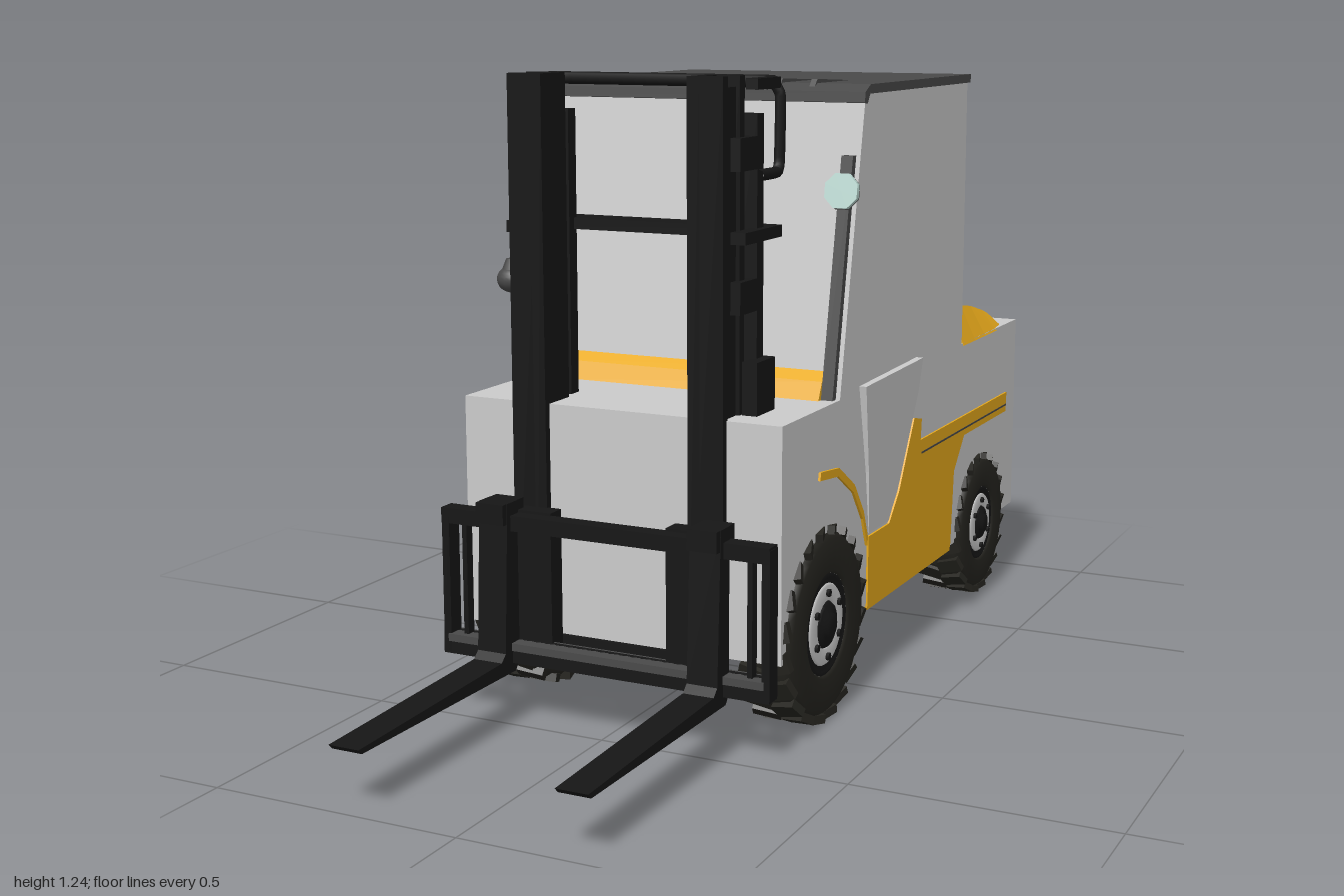
import * as THREE from 'three';

const mats = {};
const mat = (color) => (mats[color] ??= new THREE.MeshStandardMaterial({ color, flatShading: false }));
const GREY = 0xcccccc, YELLOW = 0xe8aa1c, BLACK = 0x161616, DARK = 0x4a4a4a, TYRE = 0x25241f, RED = 0xb52226, LAMP = 0xbfddd6;

export function createModel() {
  const root = new THREE.Group();
  const add = (name, geo, color, parent = root) => {
    const m = new THREE.Mesh(geo, mat(color));
    m.name = name;
    parent.add(m);
    return m;
  };
  // box given by its x, y and z ranges
  const box = (name, color, [x0, x1], [y0, y1], [z0, z1], parent) => {
    const g = new THREE.BoxGeometry(x1 - x0, y1 - y0, z1 - z0);
    g.translate((x0 + x1) / 2, (y0 + y1) / 2, (z0 + z1) / 2);
    return add(name, g, color, parent);
  };
  // side profile of [z, y] points, extruded from x0 to x1
  const profile = (name, color, pts, x0, x1) => {
    const g = new THREE.ExtrudeGeometry(new THREE.Shape(pts.map((p) => new THREE.Vector2(...p))), { depth: x1 - x0, bevelEnabled: false });
    g.rotateY(-Math.PI / 2).translate(x1, 0, 0);
    return add(name, g, color);
  };
  const tube = (name, color, pts, r, parent, tension = 0.5) => {
    const c = new THREE.CatmullRomCurve3(pts.map((p) => new THREE.Vector3(...p)), false, 'catmullrom', tension);
    return add(name, new THREE.TubeGeometry(c, pts.length * 6, r, 8), color, parent);
  };
  // rule applied to every vertex
  const warp = (g, fn) => {
    const p = g.attributes.position, v = new THREE.Vector3();
    for (let i = 0; i < p.count; i++) { fn(v.fromBufferAttribute(p, i)); p.setXYZ(i, v.x, v.y, v.z); }
    g.computeVertexNormals();
    return g;
  };

  // body
  box('body', GREY, [-0.338, 0.333], [0.17, 0.62], [-0.955, 0.42]);
  box('frontUnderside', BLACK, [-0.32, 0.32], [0.163, 0.171], [0, 0.4]);
  box('floorPan', YELLOW, [-0.335, 0.336], [0.162, 0.172], [-0.5, 0]);
  box('rearUnderside', BLACK, [-0.32, 0.32], [0.163, 0.171], [-0.95, -0.5]);

  // yellow trim on the sides
  profile('sidePanel', YELLOW, [[0, 0.17], [0, 0.315], [-0.115, 0.315], [-0.17, 0.37], [-0.255, 0.51], [-0.3, 0.5], [-0.295, 0.455],
    [-0.885, 0.455], [-0.88, 0.41], [-0.58, 0.41], [-0.515, 0.34], [-0.5, 0.17]], 0.32, 0.337);
  box('stripeGroove', DARK, [0.33, 0.338], [0.424, 0.428], [-0.88, -0.3]);
  profile('rightUpperStripe', YELLOW, [[-0.28, 0.5], [-0.36, 0.5], [-0.36, 0.455], [-0.885, 0.455], [-0.885, 0.475], [-0.45, 0.53], [-0.3, 0.54]], -0.341, -0.33);
  box('rightLowerStripe', YELLOW, [-0.341, -0.33], [0.405, 0.43], [-0.88, -0.4]);
  const arch = [[0.25, 0.5], [0.16, 0.49], [0.08, 0.44], [0.03, 0.375], [0.005, 0.315]];
  const band = [...arch, ...arch.map(([z, y]) => [z + 0.004, y - 0.016]).reverse()];
  profile('leftArchTrim', YELLOW, band, 0.32, 0.338);
  profile('rightArchTrim', YELLOW, band, -0.342, -0.33);

  // flared step panel on the left flank
  const step = profile('stepPanel', GREY, [[0.05, 0.63], [-0.27, 0.637], [-0.255, 0.57], [-0.17, 0.39], [-0.12, 0.32], [-0.01, 0.32], [0.01, 0.45]], 0.325, 0.334);
  warp(step.geometry, (v) => { if (v.x > 0.33) v.x += (v.y - 0.32) * 0.045; });

  // cab, cowl and roof
  profile('cab', GREY, [[0.15, 0.615], [0.035, 1.2], [-0.56, 1.205], [-0.56, 0.615]], -0.33, 0.333);
  profile('cowl', YELLOW, [[0.18, 0.615], [0.16, 0.655], [0.135, 0.675], [0.12, 0.615]], -0.3, 0.3);
  box('roof', DARK, [-0.34, 0.337], [1.196, 1.214], [-0.57, 0.02]);
  profile('roofLip', DARK, [[0.02, 1.214], [0.048, 1.2], [0.05, 1.18], [0.035, 1.178], [0.02, 1.2]], -0.34, 0.337);
  for (let i = 0; i < 7; i++) {
    const x = -0.22 + i * 0.0733;
    profile('roofRib', DARK, [[-0.17, 1.213], [0.02, 1.222], [0.035, 1.205]], x - 0.006, x + 0.006);
  }

  // front pillars with round lamps
  for (const s of [-1, 1]) {
    const x = s * 0.312;
    profile('pillar', DARK, [[0.165, 0.62], [0.075, 1.08], [0.05, 1.08], [0.13, 0.62]], x - 0.012, x + 0.012);
    const lamp = add('workLamp', new THREE.CylinderGeometry(0.036, 0.036, 0.012, 8).rotateY(Math.PI / 8).rotateX(Math.PI / 2 - 0.15), LAMP);
    lamp.position.set(x, 1.015, 0.1);
    const shell = add('lampShell', new THREE.CylinderGeometry(0.037, 0.025, 0.02, 8).rotateY(Math.PI / 8).rotateX(Math.PI / 2 - 0.15), BLACK);
    shell.position.set(x, 1.012, 0.085);
  }

  // hood: raised rim around a lower deck
  const plan = (w, back) => [[-w, 0.57], [-w, 0.65], [-w, 0.72], [-w, 0.8], [-w + 0.01, back - 0.08], [-w + 0.05, back - 0.03], [-w + 0.13, back],
    [w - 0.13, back], [w - 0.05, back - 0.03], [w - 0.01, back - 0.08], [w, 0.8], [w, 0.72], [w, 0.65], [w, 0.57]].map((p) => new THREE.Vector2(...p));
  const rim = new THREE.Shape(plan(0.335, 0.95));
  rim.holes.push(new THREE.Path(plan(0.27, 0.9).map((p) => (p.y < 0.58 ? p.setY(0.575) : p))));
  const rimGeo = new THREE.ExtrudeGeometry(rim, { depth: 1, bevelEnabled: false }).rotateX(-Math.PI / 2);
  warp(rimGeo, (v) => {
    const t = v.y, z = -v.z;
    v.y = 0.615 + t * (z < 0.72 ? 0.09 - (z - 0.57) * 0.15 : Math.max(0.025, 0.067 - (z - 0.72) * 0.25));
    if (t > 0.5 && Math.abs(v.x) > 0.275) v.x *= 0.89;
  });
  add('hoodRim', rimGeo, YELLOW);
  profile('hoodDeck', YELLOW, [[-0.56, 0.615], [-0.56, 0.69], [-0.72, 0.66], [-0.91, 0.63], [-0.92, 0.615]], -0.275, 0.275);
  profile('tankStand', YELLOW, [[-0.72, 0.63], [-0.77, 0.7], [-0.87, 0.7], [-0.89, 0.625]], -0.07, 0.11);

  // bowed counterweight bands at the back
  const bow = (name, color, y0, y1, wTop, wLow, reach) => {
    const s = new THREE.Shape([new THREE.Vector2(-1, 0.94)]);
    for (let i = 0; i <= 16; i++) {
      const x = -1 + i / 8;
      s.lineTo(x, reach - (reach - 0.958) * Math.abs(x) ** 2.5);
    }
    s.lineTo(1, 0.94);
    const g = new THREE.ExtrudeGeometry(s, { depth: 1, bevelEnabled: false }).rotateX(-Math.PI / 2);
    warp(g, (v) => { v.x *= wLow + (wTop - wLow) * v.y; v.y = y0 + (y1 - y0) * v.y; });
    add(name, g, color);
  };
  bow('rearBand', YELLOW, 0.36, 0.46, 0.28, 0.265, 1);
  bow('rearBandEdge', DARK, 0.435, 0.441, 0.28, 0.28, 1.0);
  bow('rearGrille', BLACK, 0.19, 0.36, 0.265, 0.19, 0.992);
  for (const x of [-0.055, 0.055]) box('rearPlate', GREY, [x - 0.045, x + 0.045], [0.265, 0.295], [-0.996, -0.98]);
  box('rearSlot', BLACK, [-0.1, 0.1], [0.51, 0.525], [-0.96, -0.95]);

  // gas tank lying across the hood
  const tank = new THREE.Group();
  tank.name = 'gasTank';
  tank.position.set(0, 0.77, -0.82);
  root.add(tank);
  const lathe = (pts, seg = 28) => new THREE.LatheGeometry(pts.map((p) => new THREE.Vector2(...p)), seg).rotateZ(-Math.PI / 2);
  add('tankShell', lathe([[0, -0.115], [0.06, -0.115], [0.06, -0.14], [0.078, -0.14], [0.08, -0.1], [0.087, -0.09], [0.087, 0.085], [0.08, 0.108], [0.06, 0.122], [0, 0.13]]), RED, tank);
  add('tankCollar', lathe([[0.038, 0.12], [0.05, 0.12], [0.05, 0.182], [0.043, 0.182], [0.043, 0.12]]), RED, tank);
  add('tankValve', lathe([[0, 0.12], [0.018, 0.12], [0.018, 0.16], [0.01, 0.175], [0, 0.175]], 12), DARK, tank);
  for (const x of [-0.04, 0.09]) add('tankStrap', lathe([[0.086, x], [0.09, x], [0.09, x + 0.014], [0.086, x + 0.014]]), DARK, tank);
  tube('gasHose', BLACK, [[0.165, 0.77, -0.82], [0.2, 0.76, -0.77], [0.225, 0.7, -0.7], [0.2, 0.69, -0.63], [0.22, 0.68, -0.56]], 0.005);

  // wheels with staggered tread lugs
  const wheel = (name, s, r, y, z) => {
    const g = new THREE.Group();
    g.name = name;
    g.position.set(s > 0 ? 0.29 : -0.28, y, z);
    g.scale.x = 1;
    if (s < 0) g.rotation.y = Math.PI;
    root.add(g);
    const h = 0.054;
    add('tyre', lathe([[r * 0.5, -h], [r * 0.88, -h], [r * 0.955, -h * 0.7], [r * 0.955, h * 0.7], [r * 0.88, h], [r * 0.55, h], [r * 0.52, h * 0.9]], 32), TYRE, g);
    add('rim', lathe([[r * 0.52, h * 0.9], [r * 0.48, h * 0.93], [r * 0.44, h * 0.86], [0, h * 0.86]], 28), BLACK, g);
    add('rimRing', lathe([[r * 0.42, h * 0.86], [r * 0.4, h * 0.94], [r * 0.25, h * 0.94], [r * 0.24, h * 0.86]], 28), GREY, g);
    add('hub', lathe([[r * 0.25, h * 0.85], [r * 0.22, h], [r * 0.13, h], [r * 0.12, h * 1.15], [0, h * 1.15]], 16), BLACK, g);
    add('innerDisc', lathe([[0, -h * 0.8], [r * 0.52, -h * 0.8]], 24), BLACK, g).material = new THREE.MeshStandardMaterial({ color: BLACK, side: THREE.DoubleSide });
    for (let i = 0; i < 40; i++) {
      const side = i % 2 ? 1 : -1, a = (i / 40) * Math.PI * 2;
      const lug = new THREE.BoxGeometry(h * 1.02, r * 0.09, r * 0.2).rotateY(side * 0.3);
      lug.translate(side * h * 0.46, r * 0.955, 0).rotateX(a);
      add('treadLug', lug, TYRE, g);
    }
    for (let i = 0; i < 6; i++) {
      const nut = new THREE.CylinderGeometry(r * 0.04, r * 0.04, 0.008, 6).rotateZ(Math.PI / 2);
      add('wheelNut', nut.translate(h * 0.98, r * 0.33, 0).rotateX((i * Math.PI) / 3), BLACK, g);
    }
  };
  for (const s of [-1, 1]) {
    wheel('frontWheel', s, 0.192, 0.195, 0.22);
    wheel('rearWheel', s, 0.162, 0.18, -0.7);
  }

  // mast
  const pair = (name, color, [x0, x1], y, z) => {
    box(name, color, [x0, x1], y, z);
    box(name, color, [-x1, -x0], y, z);
  };
  pair('mastRailWeb', BLACK, [0.15, 0.175], [0.12, 1.24], [0.345, 0.435]);
  pair('mastRailFrontFlange', BLACK, [0.15, 0.222], [0.12, 1.24], [0.415, 0.435]);
  pair('mastRailRearFlange', BLACK, [0.15, 0.222], [0.15, 1.24], [0.345, 0.365]);
  pair('innerRail', BLACK, [0.178, 0.215], [0.2, 1.22], [0.367, 0.413]);
  pair('rearRail', BLACK, [0.16, 0.235], [0.62, 1.17], [0.29, 0.318]);
  pair('mastMount', BLACK, [0.225, 0.255], [0.6, 0.72], [0.28, 0.36]);
  for (const y of [0.53, 0.84, 1.1]) pair('mastBracket', BLACK, [0.2, 0.235], [y - 0.03, y + 0.03], [0.3, 0.39]);
  for (const x of [-0.19, 0.19]) {
    add('liftCylinder', new THREE.CylinderGeometry(0.014, 0.014, 0.6, 14).translate(x, 0.87, 0.332), GREY);
    tube('hoopSide', BLACK, [[x * 1.28, 1.06, 0.33], [x * 1.28, 1.06, 0.25], [x * 1.28, 1.08, 0.238], [x * 1.28, 1.2, 0.235], [x * 1.2, 1.228, 0.24]], 0.011, root, 0.2);
    box('hoopArm', BLACK, [x * 1.28 - 0.012, x * 1.28 + 0.012], [1.215, 1.235], [0.26, 0.36]);
  }
  tube('topHoop', BLACK, [[-0.243, 1.225, 0.3], [-0.24, 1.225, 0.255], [-0.21, 1.225, 0.235], [0.21, 1.225, 0.235], [0.24, 1.225, 0.255], [0.243, 1.225, 0.3]], 0.012, root, 0.2);
  box('middleCrossbar', BLACK, [-0.25, 0.25], [0.94, 0.962], [0.24, 0.3]);
  pair('crossbarArm', BLACK, [0.22, 0.25], [0.94, 0.962], [0.24, 0.4]);
  box('lowerCrossbar', BLACK, [-0.16, 0.16], [0.13, 0.17], [0.36, 0.43]);

  // carriage frame
  for (const [y0, y1] of [[0.385, 0.415], [0.125, 0.165]]) box('carriageBar', BLACK, [-0.347, 0.345], [y0, y1], [0.465, 0.5]);
  box('carriageRail', DARK, [-0.335, 0.335], [0.15, 0.165], [0.46, 0.503]);
  pair('carriageEnd', BLACK, [0.33, 0.346], [0.13, 0.41], [0.465, 0.5]);
  pair('carriageUpright', BLACK, [0.297, 0.307], [0.16, 0.39], [0.47, 0.49]);
  pair('carriagePlate', BLACK, [0.122, 0.2], [0.15, 0.42], [0.43, 0.47]);

  // forks
  const fork = [[0.475, 0.44], [0.475, 0.125], [0.49, 0.107], [0.99, 0.112], [1, 0.122], [0.54, 0.136], [0.525, 0.15], [0.51, 0.44]];
  for (const x of [-0.223, 0.223]) {
    profile('fork', BLACK, fork, x - 0.031, x + 0.031);
    box('forkHook', BLACK, [x - 0.03, x + 0.03], [0.4, 0.44], [0.45, 0.525]);
  }

  // beacon on a cable beside the mast
  add('beacon', new THREE.SphereGeometry(0.031, 16, 12).scale(1, 0.85, 1).translate(-0.272, 0.842, 0.345), DARK);
  add('beaconCap', new THREE.CylinderGeometry(0.012, 0.02, 0.02, 12).translate(-0.272, 0.872, 0.345), DARK);
  tube('beaconCable', BLACK, [[-0.272, 0.82, 0.345], [-0.265, 0.76, 0.345], [-0.24, 0.71, 0.34], [-0.235, 0.66, 0.33]], 0.005);
  box('beaconArm', BLACK, [-0.265, -0.2], [0.795, 0.81], [0.34, 0.36]);
  return root;
}
